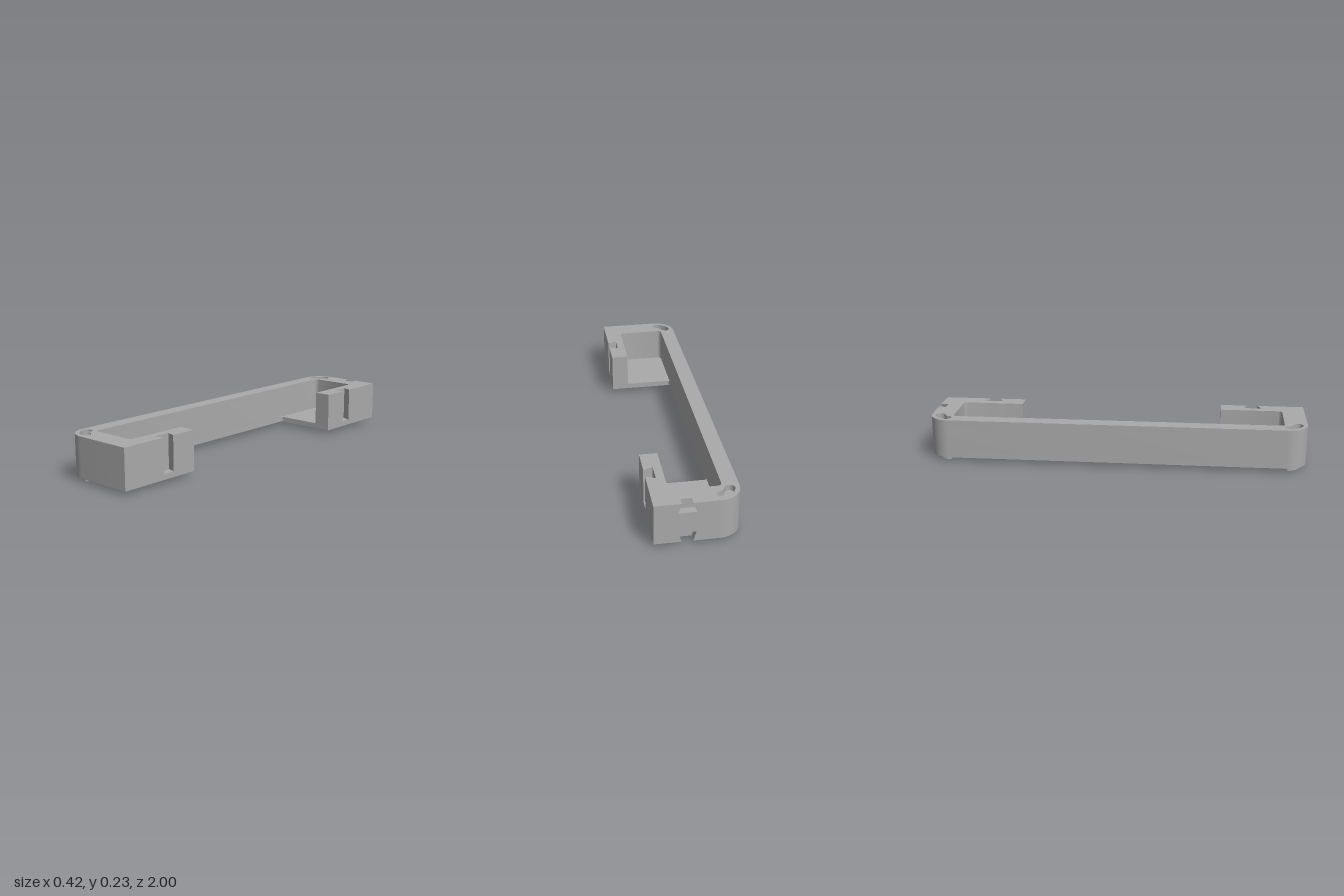
import * as THREE from 'three';
import { toCreasedNormals } from 'three/addons/utils/BufferGeometryUtils.js';

const { PI } = Math;

// Plan points are [x, z]
function arc(cx, cz, r, a0, a1, n = 10) {
  return Array.from({ length: n + 1 }, (_, i) => {
    const a = a0 + (a1 - a0) * i / n;
    return [cx + r * Math.cos(a), cz + r * Math.sin(a)];
  });
}

const mirror = pts => pts.map(([x, z]) => [x, -z]).reverse();
const toVectors = pts => pts.map(([x, z]) => new THREE.Vector2(x, z));

// Rounded outer corner shared by all levels
const CX = -0.10, CZ = 0.89;
const outerCorner = arc(CX, CZ, 0.11, PI / 2, PI, 14);

// Rectangle left free in the back face for the notched insert
const insertGap = [[0.105, 1], [0.105, 0.96], [0, 0.96], [0, 1]];

function outline(inner) {
  const front = [...inner, [0.21, 1], ...outerCorner];
  const back = [...inner, [0.21, 1], ...insertGap, ...outerCorner];
  return [...front, ...mirror(back)];
}

// Floor level: closed arms with a small fillet against the long bar
const floorOutline = outline([
  ...arc(-0.118, 0.538, 0.012, PI, PI / 2, 5),
  [0.21, 0.55],
]);

// Wall level: open pockets and dovetail slots on the outer side
const wallOutline = outline([
  ...arc(-0.11, 0.86, 0.02, PI, PI / 2, 6),
  ...arc(0.10, 0.86, 0.02, PI / 2, 0, 6),
  [0.12, 0.55], [0.21, 0.55],
  [0.21, 0.69], [0.162, 0.675], [0.162, 0.77], [0.21, 0.75],
]);

// Curved slot following the rounded corner
function kidney(halfWidth) {
  const r = 0.063, a0 = PI * 105 / 180, a1 = PI * 165 / 180;
  const cap = (a, start) => arc(CX + r * Math.cos(a), CZ + r * Math.sin(a), halfWidth, start, start + PI, 10);
  return [
    ...arc(CX, CZ, r + halfWidth, a0, a1, 10),
    ...cap(a1, a1).slice(1, -1),
    ...arc(CX, CZ, r - halfWidth, a1, a0, 10),
    ...cap(a0, a0 + PI).slice(1, -1),
  ];
}

// Extrude a plan between two heights
function slab(points, y0, y1, holes = []) {
  const shape = new THREE.Shape(toVectors(points));
  for (const h of holes) shape.holes.push(new THREE.Path(toVectors(h)));
  const g = new THREE.ExtrudeGeometry(shape, { depth: y1 - y0, bevelEnabled: false });
  g.rotateX(PI / 2).translate(0, y1, 0);
  return toCreasedNormals(g, 0.6);
}

export function createModel() {
  const group = new THREE.Group();
  group.name = 'bracket';
  const grey = new THREE.MeshStandardMaterial({ color: 0xaaaaaa });
  grey.name = 'grey';
  const add = (name, geometry) => {
    const mesh = new THREE.Mesh(geometry, grey);
    mesh.name = name;
    group.add(mesh);
  };

  const bottom = 0.022, floorTop = 0.05, slotFloor = 0.2, top = 0.23;
  const socket = kidney(0.025), peg = kidney(0.019);

  add('floor', slab(floorOutline, bottom, floorTop));
  add('walls', slab(wallOutline, floorTop, slotFloor));
  add('rimWithSockets', slab(wallOutline, slotFloor, top, [socket, mirror(socket)]));
  add('frontPeg', slab(peg, 0, bottom));
  add('backPeg', slab(mirror(peg), 0, bottom));

  // Back face insert with dovetail notches at top and bottom
  const d = 0.05;
  const profile = new THREE.Shape(toVectors([
    [0, bottom], [0.026, bottom], [0.01, bottom + d], [0.096, bottom + d], [0.08, bottom], [0.105, bottom],
    [0.105, top], [0.08, top], [0.096, top - d], [0.01, top - d], [0.026, top], [0, top],
  ]));
  const insert = new THREE.ExtrudeGeometry(profile, { depth: 0.04, bevelEnabled: false });
  insert.translate(0, 0, -1);
  add('backNotches', insert);

  return group;
}
